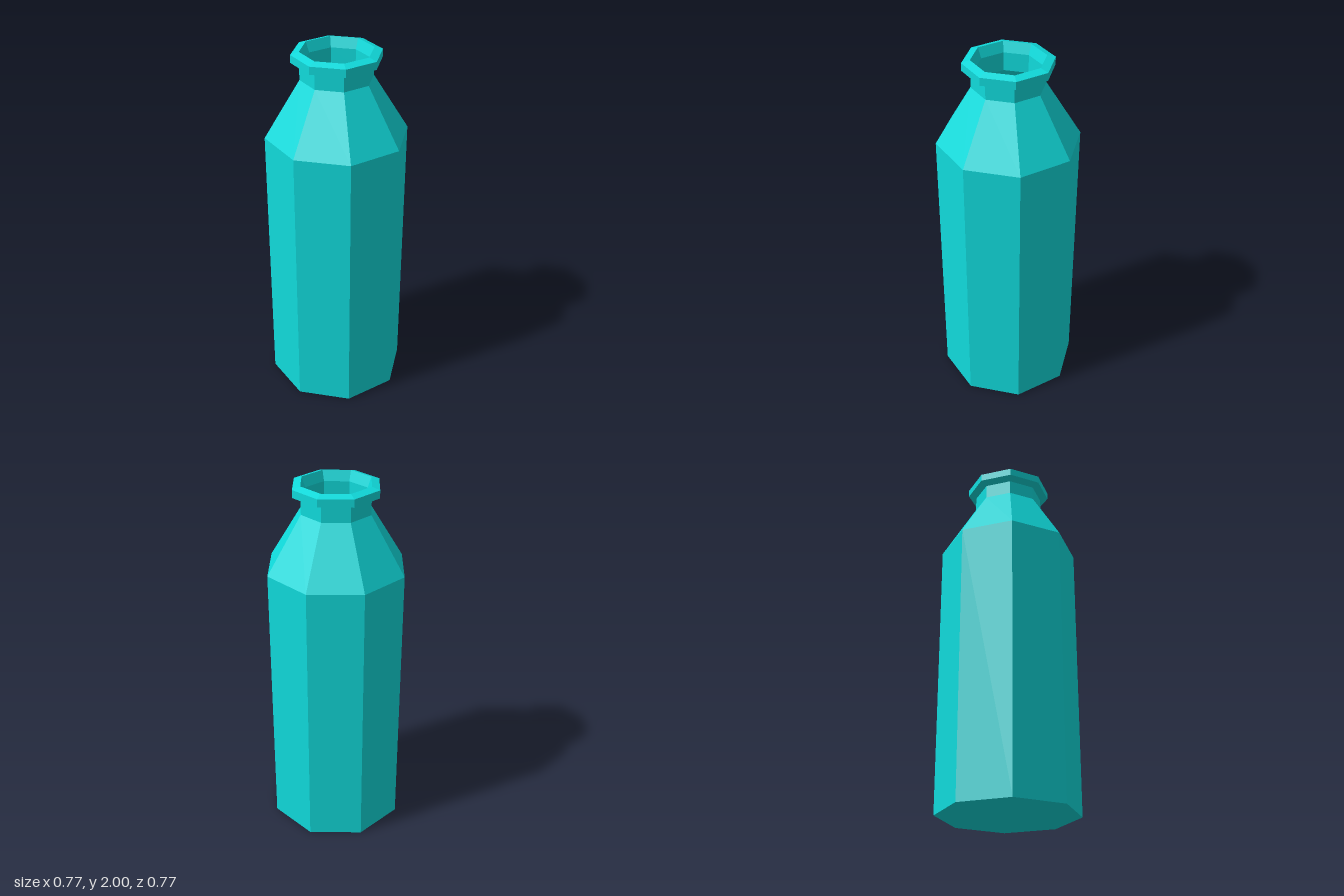
import * as THREE from 'three';

const SIDES = 8;

// Faceted solid of revolution with hard edges; profile is [radius, height] pairs
function facetedLathe(name, profile, material) {
  const points = profile.map(([r, y]) => new THREE.Vector2(r, y));
  const geometry = new THREE.LatheGeometry(points, SIDES).toNonIndexed();
  geometry.computeVertexNormals();
  const mesh = new THREE.Mesh(geometry, material);
  mesh.name = name;
  return mesh;
}

export function createModel() {
  const teal = new THREE.MeshStandardMaterial({ color: 0x10dadb });
  teal.name = 'teal';

  const bottle = new THREE.Group();
  bottle.name = 'bottle';

  // Base, straight walls, sloping shoulder and neck
  bottle.add(facetedLathe('body', [
    [0, 0], [0.383, 0], [0.383, 1.54], [0.193, 1.85], [0.193, 1.93],
  ], teal));

  // Bevelled lip, turning over into the mouth
  bottle.add(facetedLathe('lip', [
    [0.193, 1.93], [0.237, 1.945], [0.237, 1.987], [0.193, 2], [0.173, 1.945],
  ], teal));

  // Hollow inside, from the mouth down to the inner floor
  bottle.add(facetedLathe('interior', [
    [0.173, 1.945], [0.173, 1.845], [0.36, 1.535], [0.36, 0.025], [0, 0.025],
  ], teal));

  return bottle;
}
